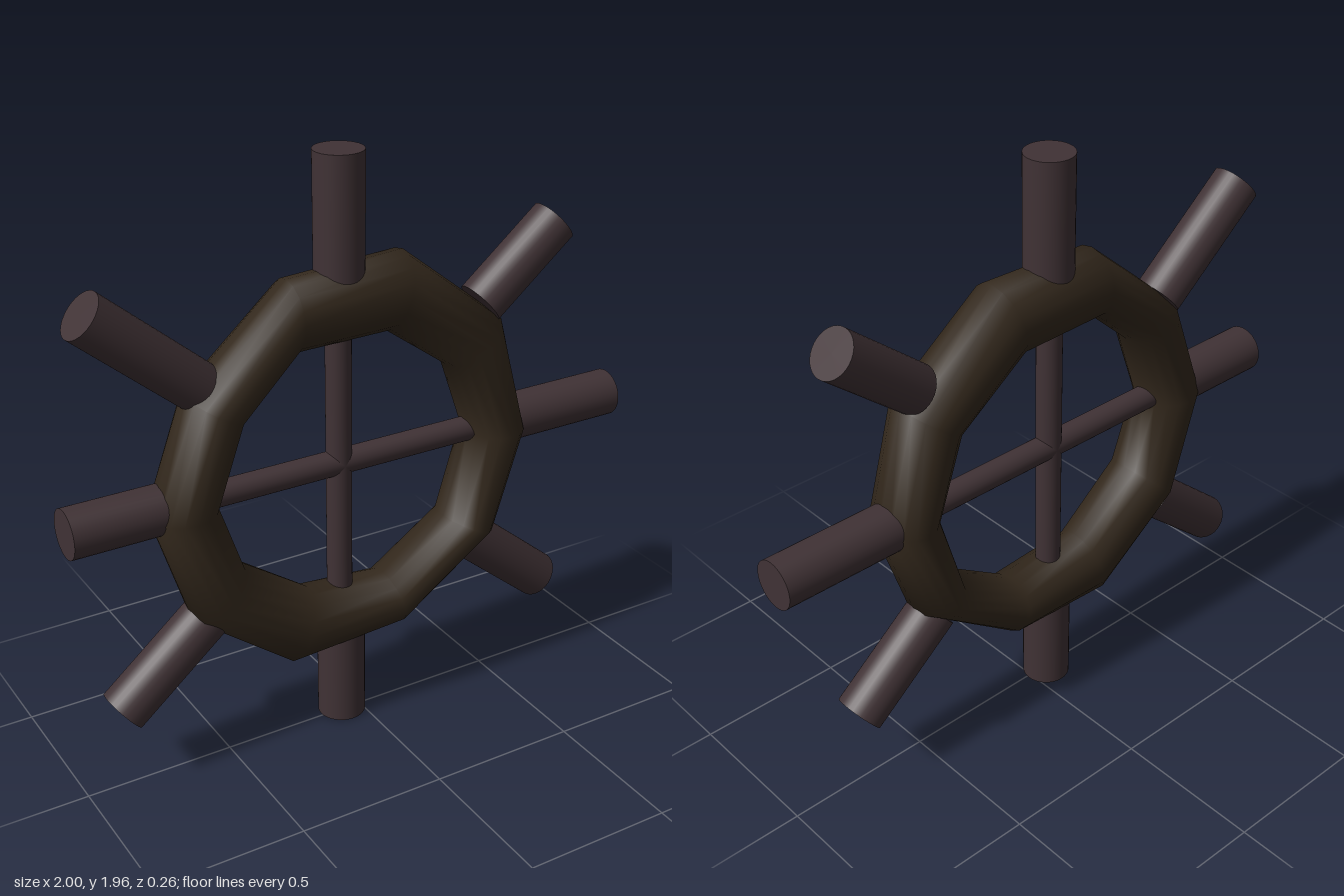
import * as THREE from 'three';

const rimMaterial = new THREE.MeshStandardMaterial({ color: 0x33281c });
const spokeMaterial = new THREE.MeshStandardMaterial({ color: 0x403235 });
const SPOKE_Z = -0.01;

// Round bar between two points in the plane of the wheel
function bar(name, [x0, y0], [x1, y1], radius) {
  const dx = x1 - x0, dy = y1 - y0;
  const geometry = new THREE.CylinderGeometry(radius, radius, Math.hypot(dx, dy), 32);
  const mesh = new THREE.Mesh(geometry, spokeMaterial);
  mesh.position.set((x0 + x1) / 2, (y0 + y1) / 2, SPOKE_Z);
  mesh.rotation.z = Math.atan2(dy, dx) - Math.PI / 2;
  mesh.name = name;
  return mesh;
}

// Rim stations, clockwise from the front: outer x, y, inner x, y, back z, front z
const stations = [
  [-0.25, 1.59, -0.24, 1.36, -0.115, 0.105],
  [0.165, 1.61, 0.095, 1.36, -0.13, 0.10],
  [0.52, 1.33, 0.33, 1.19, -0.13, 0.11],
  [0.62, 0.93, 0.42, 0.93, -0.125, 0.115],
  [0.50, 0.57, 0.335, 0.635, -0.13, 0.115],
  [0.14, 0.305, 0.095, 0.485, -0.125, 0.105],
  [-0.275, 0.27, -0.195, 0.52, -0.115, 0.10],
  [-0.61, 0.53, -0.435, 0.685, -0.12, 0.12],
  [-0.735, 0.92, -0.515, 0.92, -0.115, 0.115],
  [-0.60, 1.29, -0.43, 1.19, -0.115, 0.13],
];

// Uneven ten-sided rim with a rounded cross-section
function rimGeometry(sides = 16) {
  const positions = [], index = [];
  const n = stations.length;
  stations.forEach(([ox, oy, ix, iy, back, front], i) => {
    for (let j = 0; j < sides; j++) {
      const a = (j / sides) * Math.PI * 2;
      const t = (1 + Math.cos(a)) / 2;
      positions.push(ix + (ox - ix) * t, iy + (oy - iy) * t,
        (front + back) / 2 + Math.sin(a) * (front - back) / 2);
      const k = (j + 1) % sides, next = (i + 1) % n;
      const p = i * sides + j, q = i * sides + k;
      const r = next * sides + j, s = next * sides + k;
      index.push(p, q, r, q, s, r);
    }
  });
  const geometry = new THREE.BufferGeometry();
  geometry.setAttribute('position', new THREE.Float32BufferAttribute(positions, 3));
  geometry.setIndex(index);
  geometry.computeVertexNormals();
  return geometry;
}

export function createModel() {
  const model = new THREE.Group();
  model.name = 'spokedWheel';

  const rim = new THREE.Mesh(rimGeometry(), rimMaterial);
  rim.name = 'rim';
  model.add(rim);

  // Thin cross inside the rim
  model.add(bar('verticalCrossbar', [-0.07, 0.42], [-0.07, 1.45], 0.042));
  model.add(bar('horizontalCrossbar', [-0.6, 0.94], [0.5, 0.94], 0.042));

  // Thick handles outside the rim: inner end, outer end
  const handles = {
    topHandle: [[-0.065, 1.5], [-0.065, 1.96]],
    bottomHandle: [[-0.065, 0.38], [-0.065, 0]],
    leftHandle: [[0.54, 0.94], [1, 0.94]],
    rightHandle: [[-0.65, 0.94], [-1, 0.94]],
    upperLeftHandle: [[0.46, 1.375], [0.74, 1.605]],
    lowerLeftHandle: [[0.43, 0.54], [0.74, 0.285]],
    upperRightHandle: [[-0.55, 1.31], [-0.9, 1.605]],
    lowerRightHandle: [[-0.55, 0.53], [-0.86, 0.27]],
  };
  for (const [name, [inner, outer]] of Object.entries(handles)) {
    model.add(bar(name, inner, outer, 0.08));
  }
  return model;
}
